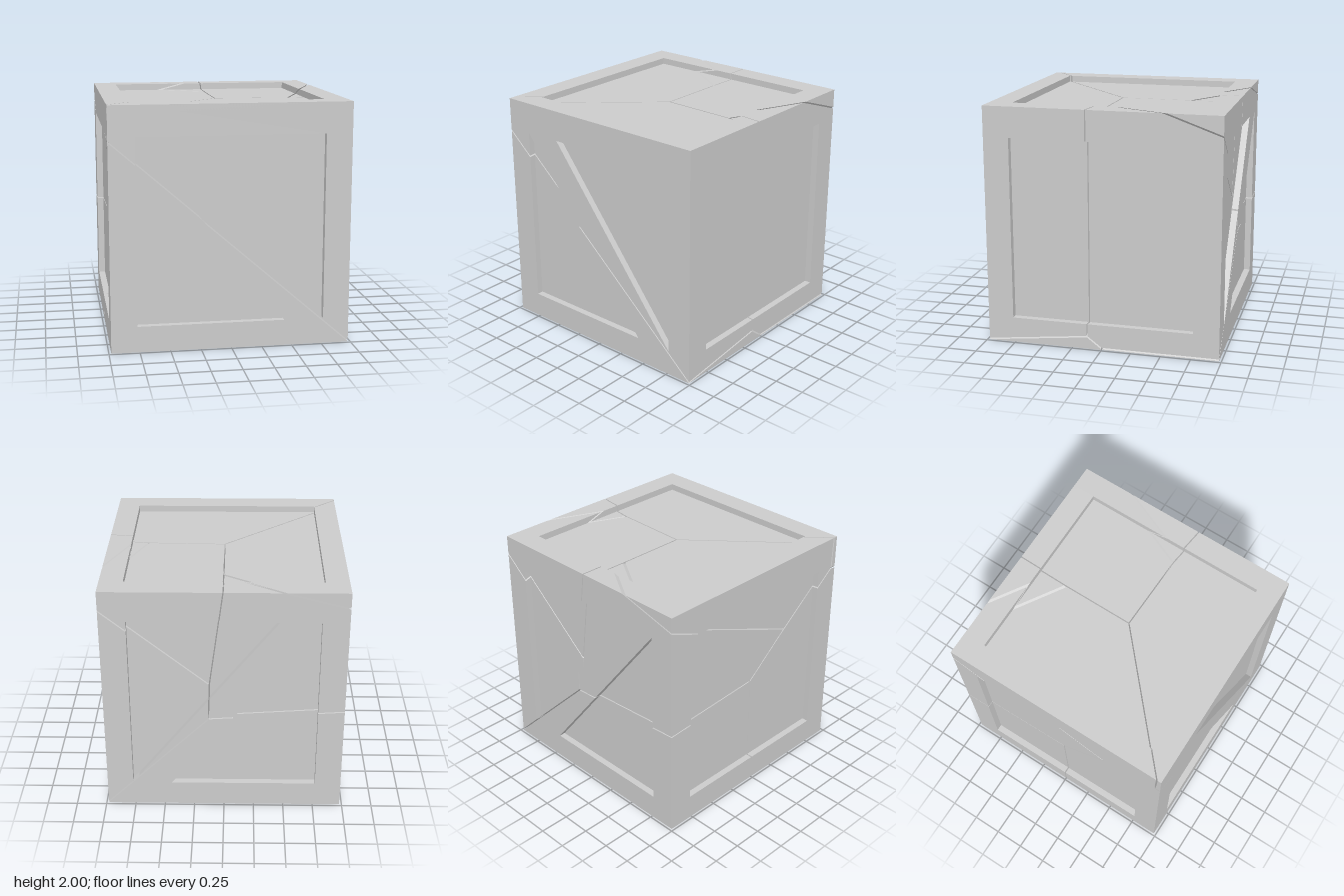
import * as THREE from 'three';
import { ConvexGeometry } from 'three/addons/geometries/ConvexGeometry.js';
import { mergeGeometries } from 'three/addons/utils/BufferGeometryUtils.js';

const W = 0.98, H = 2;     // half width and full height of the crate
const DEPTH = 0.055;       // recess of the panels
const GAP = 0.005;         // half the width of a crack
const V = (x, y, z) => new THREE.Vector3(x, y, z);

// Half-space n.p <= d, stored with a unit normal
function halfSpace(n, d) {
  const l = n.length();
  return { n: n.clone().divideScalar(l), d: d / l };
}

// A box as six half-spaces
function box(min, max) {
  return ['x', 'y', 'z'].flatMap((k) => {
    const n = V(0, 0, 0);
    n[k] = 1;
    return [halfSpace(n, max[k]), halfSpace(n.clone().negate(), -min[k])];
  });
}

// Corner points of the solid enclosed by a list of half-spaces
function corners(spaces) {
  const pts = [];
  for (let i = 0; i < spaces.length; i++)
    for (let j = i + 1; j < spaces.length; j++)
      for (let k = j + 1; k < spaces.length; k++) {
        const [a, b, c] = [spaces[i], spaces[j], spaces[k]];
        const bc = b.n.clone().cross(c.n);
        const det = a.n.dot(bc);
        if (Math.abs(det) < 1e-6) continue;
        const p = bc.multiplyScalar(a.d)
          .addScaledVector(c.n.clone().cross(a.n), b.d)
          .addScaledVector(a.n.clone().cross(b.n), c.d)
          .divideScalar(det);
        if (spaces.some((s) => s.n.dot(p) > s.d + 1e-6)) continue;
        if (!pts.some((q) => q.distanceTo(p) < 1e-4)) pts.push(p);
      }
  return pts;
}

// True if the points span a real volume
function isSolid(pts) {
  if (pts.length < 4) return false;
  const e = pts.slice(1).map((p) => p.clone().sub(pts[0]));
  return e.some((a) => e.some((b) => {
    const n = a.clone().cross(b);
    return e.some((c) => Math.abs(n.dot(c)) > 1e-8);
  }));
}

// Four frame bars round an opening; at(u, v, w) maps face coordinates to space,
// w running from the panel (0) to the outer face (1)
function frameBars(at, [u0, u1, v0, v1], [a0, a1, b0, b1]) {
  return [
    [u0, a0, v0, v1], [a1, u1, v0, v1],
    [a0, a1, v0, b0], [a0, a1, b1, v1],
  ].map(([p, q, r, s]) => {
    const b = new THREE.Box3().setFromPoints([at(p, r, 0), at(q, s, 1)]);
    return box(b.min, b.max);
  });
}

function crateSolids() {
  const solids = [box(V(-W + DEPTH, DEPTH, -W + DEPTH), V(W - DEPTH, H - DEPTH, W - DEPTH))];
  const side = [-W, W, 0, H], sideHole = [-0.765, 0.765, 0.215, 1.745];
  const lid = [-W, W, -W, W], lidHole = [-0.79, 0.79, -0.79, 0.79];
  for (const s of [-1, 1]) {
    const out = (w) => s * (W - DEPTH + w * DEPTH);
    const lidY = (w) => H / 2 + s * (H / 2 - DEPTH + w * DEPTH);
    solids.push(
      ...frameBars((u, v, w) => V(u, v, out(w)), side, sideHole),   // front, back
      ...frameBars((u, v, w) => V(out(w), v, u), side, sideHole),   // left, right
      ...frameBars((u, v, w) => V(u, lidY(w), v), lid, lidHole),    // top, bottom
    );
    // Diagonal brace on the front and back
    const z = [out(0), out(1)].sort((a, b) => a - b);
    const n = V(1.53, 1.2025, 0);
    solids.push([
      ...box(V(-0.765, 0.215, z[0]), V(0.765, 1.745, z[1])),
      halfSpace(n, n.dot(V(-0.4375, 1.745, 0))),
      halfSpace(n.clone().negate(), -n.dot(V(0.4375, 0.215, 0))),
    ]);
  }
  return solids;
}

// Weighted cell centres of the broken pieces: a point belongs to the cell
// with the smallest c - 2 p.s
const CELLS = [
  { name: 'upperFrontFragment', s: V(0.579, 1.656, 0.709), c: 3.580 },
  { name: 'lowerFrontFragment', s: V(-0.668, 0.226, 0.543), c: 0.792 },
  { name: 'lowerBackFragment', s: V(-0.668, 0.226, -0.543), c: 0.792 },
  { name: 'backSideFragment', s: V(0.742, 1.656, -0.545), c: 3.590 },
  { name: 'topBackFragment', s: V(0.617, 1.808, -0.599), c: 4.009 },
  { name: 'topSideFragment', s: V(-0.585, 1.700, -0.599), c: 3.574 },
  { name: 'backWedgeFragment', s: V(-0.572, 1.650, -0.6195), c: 3.402 },
];

export function createModel() {
  const group = new THREE.Group();
  group.name = 'crackedCrate';
  const material = new THREE.MeshStandardMaterial({ color: 0xcccccc, flatShading: true });
  const solids = crateSolids();

  // Cut every solid by each cell, leaving a thin crack between neighbours
  for (const cell of CELLS) {
    const cuts = CELLS.filter((o) => o !== cell).map((o) => {
      const h = halfSpace(o.s.clone().sub(cell.s), (o.c - cell.c) / 2);
      h.d -= GAP;
      return h;
    });
    const parts = solids
      .map((solid) => corners([...solid, ...cuts]))
      .filter(isSolid)
      .map((pts) => new ConvexGeometry(pts));
    if (!parts.length) continue;
    const mesh = new THREE.Mesh(mergeGeometries(parts), material);
    mesh.name = cell.name;
    group.add(mesh);
  }
  return group;
}
